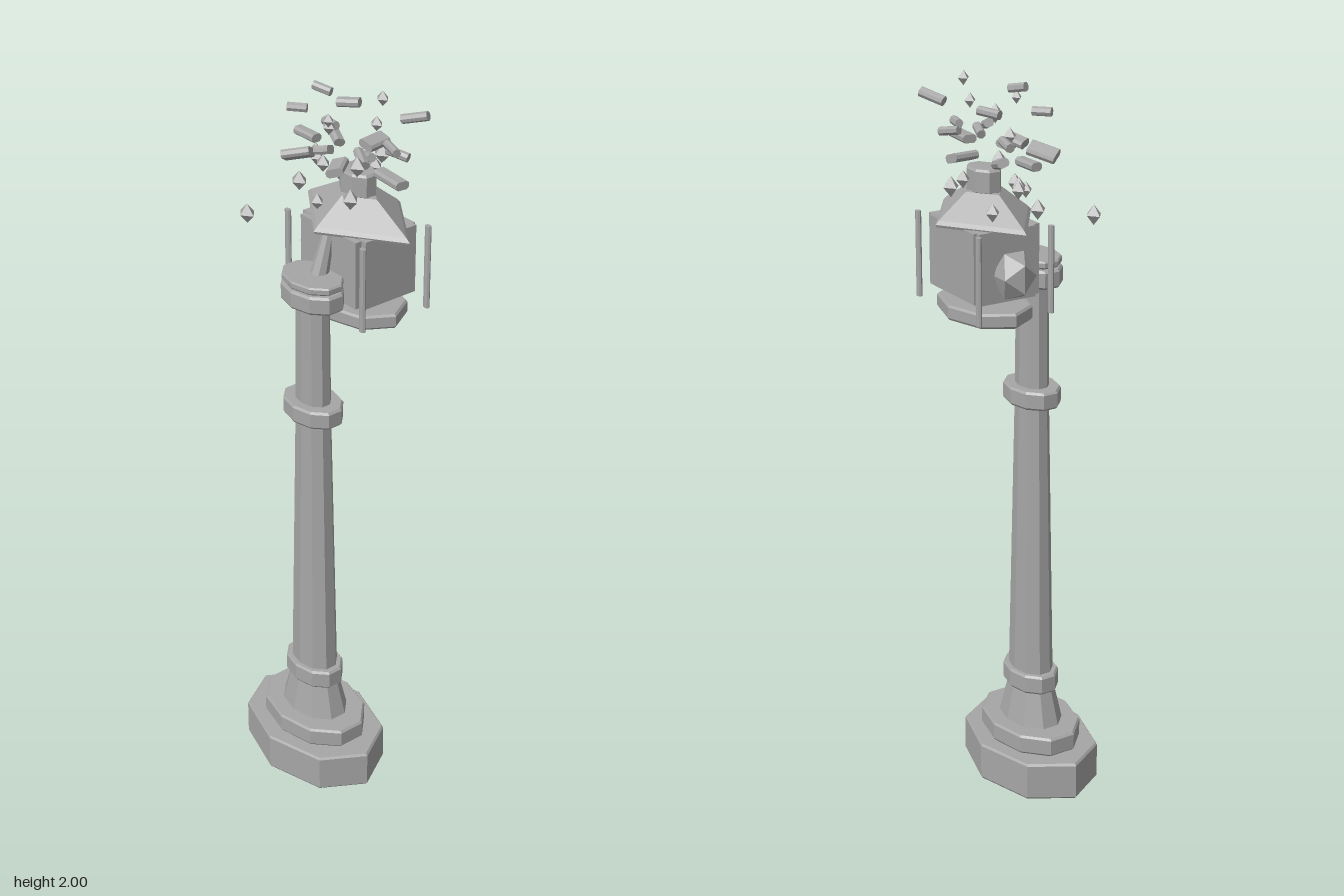
import * as THREE from 'three';

const SQUASH = 0.7; // the whole lamp is narrower in x than in z
const stone = new THREE.MeshStandardMaterial({ color: 0xa6a6a6 });
stone.name = 'grey stone';

// Faceted mesh: split faces so every facet has its own normal
function facet(name, geometry, parent) {
  const g = geometry.index ? geometry.toNonIndexed() : geometry;
  g.computeVertexNormals();
  const mesh = new THREE.Mesh(g, stone);
  mesh.name = name;
  parent.add(mesh);
  return mesh;
}

// Polygonal turned part from [radius, y] pairs, centred on x
function turned(name, parent, x, sides, profile, turn = 0) {
  const pts = profile.map(([r, y]) => new THREE.Vector2(r, y));
  const g = new THREE.LatheGeometry(pts, sides);
  g.rotateY(turn);
  g.scale(SQUASH, 1, 1);
  g.translate(x, 0, 0);
  return facet(name, g, parent);
}

// Disc profile with small bevels
const disc = (r, y0, y1, b = 0.006) =>
  [[0, y0], [r - b, y0], [r, y0 + b], [r, y1 - b], [r - b, y1], [0, y1]];

function block(name, parent, size, pos) {
  const m = facet(name, new THREE.BoxGeometry(...size), parent);
  m.position.set(...pos);
  return m;
}

// Box with chamfered long edges, lying along z
function emberGeometry(w, h, l) {
  const c = Math.min(w, h) * 0.28, a = w / 2, b = h / 2;
  const s = new THREE.Shape([[a - c, -b], [a, c - b], [a, b - c], [a - c, b],
    [c - a, b], [-a, b - c], [-a, c - b], [c - a, -b]].map(p => new THREE.Vector2(...p)));
  const g = new THREE.ExtrudeGeometry(s, { depth: l, bevelEnabled: false });
  g.translate(0, 0, -l / 2);
  return g;
}

function createPost() {
  const post = new THREE.Group();
  post.name = 'post';
  const X = -0.07, q = Math.PI / 2;
  turned('base', post, X, 8, disc(0.235, 0, 0.11));
  turned('plinth', post, X, 10, disc(0.174, 0.11, 0.165), q);
  turned('shaft', post, X, 10, [[0.112, 0.16], [0.08, 0.27], [0.077, 0.32],
    [0.058, 1.11], [0.054, 1.46]], q);
  turned('lowerRing', post, X, 10, disc(0.097, 0.265, 0.32), q);
  turned('middleRing', post, X, 10, disc(0.097, 1.11, 1.16), q);
  turned('topRing', post, X, 10, disc(0.1, 1.445, 1.495), q);
  turned('cap', post, X, 10, disc(0.097, 1.5, 1.52, 0.004), q);
  turned('capNeck', post, X, 10, [[0.08, 1.49], [0.08, 1.505]], q);

  // Tapering bracket leaning from the cap towards the lantern
  const a = new THREE.Vector3(-0.052, 1.5, 0), b = new THREE.Vector3(-0.015, 1.63, 0);
  const arm = facet('bracket', new THREE.CylinderGeometry(0.014, 0.026, a.distanceTo(b), 8), post);
  arm.position.copy(a).lerp(b, 0.5);
  arm.quaternion.setFromUnitVectors(new THREE.Vector3(0, 1, 0), b.clone().sub(a).normalize());
  return post;
}

function createLantern() {
  const lantern = new THREE.Group();
  lantern.name = 'lantern';
  const X = 0.077;
  turned('floor', lantern, X, 8, disc(0.156, 1.38, 1.42));
  turned('floorStud', lantern, X + 0.01, 8, disc(0.018, 1.368, 1.385, 0.003));
  turned('roof', lantern, X, 4, [[0, 1.63], [0.198, 1.63], [0.203, 1.637],
    [0.19, 1.647], [0.075, 1.71], [0, 1.715]]);
  turned('chimney', lantern, X, 8, disc(0.058, 1.705, 1.77), Math.PI / 8);

  // Glazed body with raised side panes
  block('lampBody', lantern, [0.166, 0.187, 0.25], [X + 0.006, 1.54, 0]);
  for (const s of [-1, 1]) {
    block('sidePane', lantern, [0.018, 0.185, 0.22], [X + s * 0.088, 1.54, 0]);
    for (const t of [-1, 1]) { // corner rods
      const rod = facet('cornerRod', new THREE.CylinderGeometry(0.01, 0.01, 0.23, 8), lantern);
      rod.scale.x = SQUASH;
      rod.position.set(X + s * 0.107, 1.52, t * 0.15);
    }
  }

  // Faceted knob on the rear pane, small crystal under the body
  const knob = facet('rearKnob', new THREE.IcosahedronGeometry(1, 0), lantern);
  knob.scale.set(0.055, 0.07, 0.06);
  knob.position.set(X, 1.52, -0.145);
  const drop = facet('hangingCrystal', new THREE.OctahedronGeometry(0.022), lantern);
  drop.position.set(X, 1.44, 0);
  return lantern;
}

function createEmbers() {
  const embers = new THREE.Group();
  embers.name = 'embers';

  // Crystals: x, y, z, radius
  [[-0.145, 1.65, -0.17, 0.027], [0.027, 1.69, -0.175, 0.027], [0.213, 1.75, -0.068, 0.027],
    [-0.05, 1.86, 0.15, 0.027], [-0.03, 1.75, 0.1, 0.027], [0.057, 1.75, -0.115, 0.024],
    [0.052, 1.86, -0.085, 0.022], [0.07, 1.75, -0.155, 0.024], [-0.03, 1.7, -0.03, 0.022],
    [-0.03, 1.93, 0.015, 0.018], [0.085, 1.98, 0.083, 0.02], [0.15, 1.75, -0.02, 0.024],
    [0.065, 1.92, 0.085, 0.02], [0.09, 1.75, -0.185, 0.024], [0.14, 1.69, -0.145, 0.024],
  ].forEach(([x, y, z, r]) => {
    const m = facet('crystal', new THREE.OctahedronGeometry(r), embers);
    m.scale.x = 0.8;
    m.position.set(x, y, z);
  });

  // Chips: x, y, z, width, length, yaw
  [[0.057, 1.81, -0.178, 0.03, 0.076, 0], [0.04, 1.81, 0.17, 0.038, 0.1, -0.1],
    [-0.04, 1.81, -0.095, 0.045, 0.075, 0.6], [0.157, 1.81, -0.03, 0.045, 0.07, 1.7],
    [-0.018, 1.81, 0.035, 0.045, 0.066, -0.9], [-0.005, 1.83, -0.035, 0.035, 0.04, 0.4],
    [0.115, 1.81, -0.14, 0.03, 0.085, -0.35], [0.085, 1.85, -0.12, 0.022, 0.06, -0.2],
    [0.1, 1.92, -0.065, 0.026, 0.06, 0.5], [0.005, 1.85, 0.1, 0.026, 0.06, -0.4],
    [0.04, 1.84, 0.083, 0.022, 0.05, -0.3], [0.085, 1.86, 0.12, 0.02, 0.06, -0.3],
    [0.107, 1.84, 0.117, 0.022, 0.06, 0.4], [0.147, 1.93, 0.133, 0.026, 0.07, 0.5],
    [0.02, 1.975, -0.07, 0.02, 0.05, 0.4], [-0.02, 1.92, -0.12, 0.022, 0.05, 0.7],
  ].forEach(([x, y, z, w, l, yaw], i) => {
    const m = facet('chip', emberGeometry(w, 0.022, l), embers);
    m.position.set(x, y, z);
    m.rotation.set(i < 2 ? 0 : 0.3 * Math.sin(i * 2.3), yaw, i < 2 ? 0 : 0.4 * Math.cos(i * 1.7));
  });
  return embers;
}

export function createModel() {
  const model = new THREE.Group();
  model.name = 'streetLamp';
  model.add(createPost(), createLantern(), createEmbers());
  return model;
}
